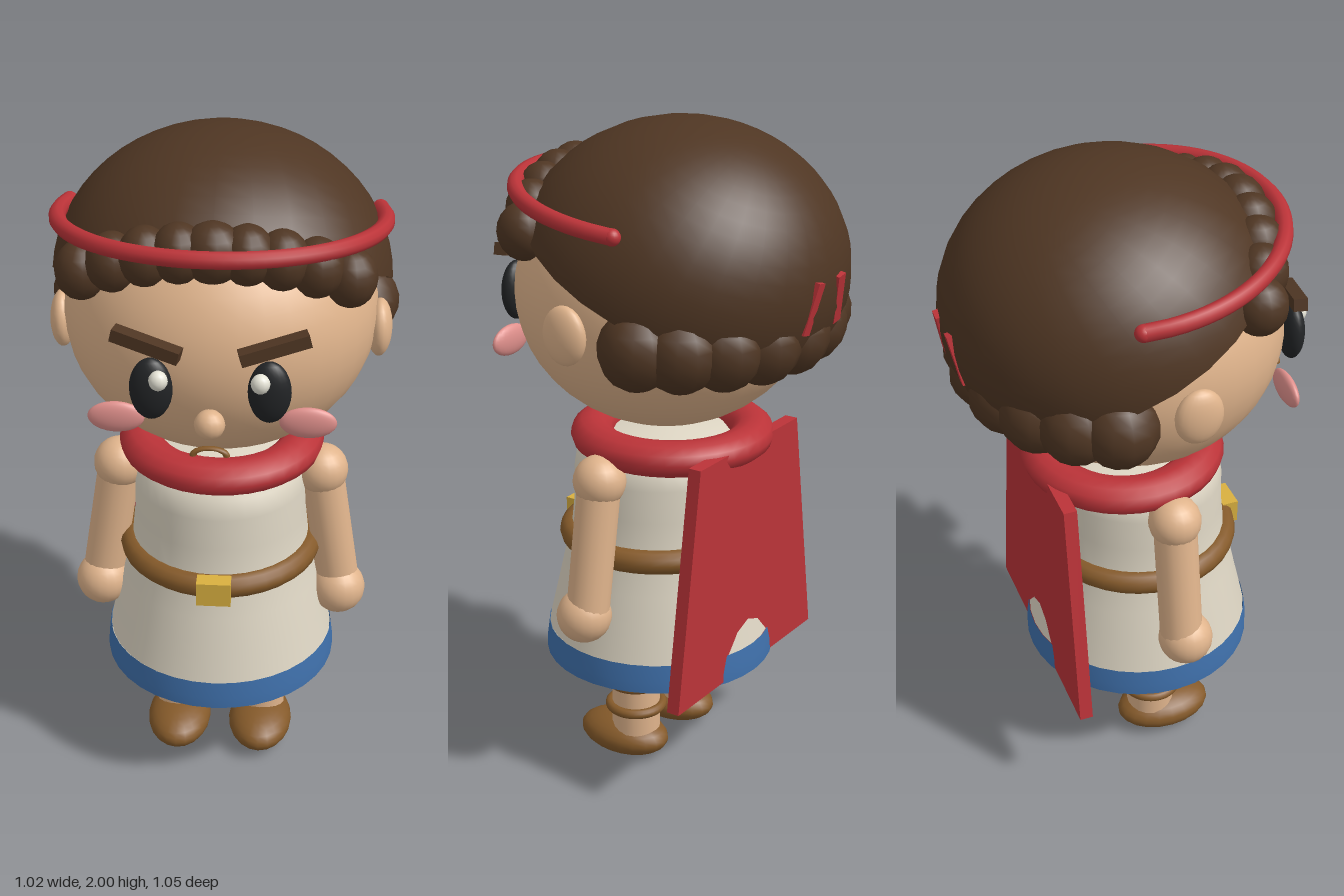
import * as THREE from 'three';

const mat = (name, color, side = THREE.FrontSide) => {
  const m = new THREE.MeshStandardMaterial({ color, side });
  m.name = name;
  return m;
};

export function createModel() {
  const skin = mat('skin', 0xe0b48c);
  const hair = mat('hair brown', 0x4f3623, THREE.DoubleSide);
  const red = mat('red cloth', 0xbb3338);
  const cream = mat('cream cloth', 0xddd5c3, THREE.DoubleSide);
  const blue = mat('blue trim', 0x3f70ab, THREE.DoubleSide);
  const leather = mat('leather', 0x855a2a);
  const gold = mat('gold', 0xd9b040);
  const black = mat('eye black', 0x222426);
  const white = mat('eye white', 0xf0eee0);
  const pink = mat('blush pink', 0xe0908c);

  const model = new THREE.Group();
  model.name = 'warrior';

  const add = (name, geometry, material, x = 0, y = 0, z = 0) => {
    const mesh = new THREE.Mesh(geometry, material);
    mesh.name = name;
    mesh.position.set(x, y, z);
    model.add(mesh);
    return mesh;
  };
  const ball = (name, material, x, y, z, rx, ry = rx, rz = rx, w = 20, h = 14) =>
    add(name, new THREE.SphereGeometry(1, w, h).scale(rx, ry, rz), material, x, y, z);
  const ring = (name, material, x, y, z, radius, tube, flat = 1) =>
    add(name, new THREE.TorusGeometry(radius, tube, 12, 36).rotateX(Math.PI / 2).scale(1, flat, 1), material, x, y, z);
  const limb = (name, material, from, to, r0, r1) => {
    const a = new THREE.Vector3(...from), b = new THREE.Vector3(...to);
    const mesh = add(name, new THREE.CylinderGeometry(r1, r0, a.distanceTo(b), 18), material);
    mesh.position.addVectors(a, b).multiplyScalar(0.5);
    mesh.quaternion.setFromUnitVectors(new THREE.Vector3(0, 1, 0), b.sub(a).normalize());
    return mesh;
  };
  const lathe = (name, material, pts, z) =>
    add(name, new THREE.LatheGeometry(pts.map(p => new THREE.Vector2(...p)), 36), material, 0, 0, z);

  // Head and tilted hair cap
  ball('head', skin, 0, 1.5, 0.02, 0.445, 0.4, 0.44, 36, 24);
  const cap = new THREE.SphereGeometry(1, 28, 14, 0, Math.PI * 2, 0, Math.PI * 0.5);
  cap.rotateX(-0.5).scale(0.483, 0.425, 0.487);
  add('hairCap', cap, hair, 0, 1.575, -0.033);

  // Fringe curls
  for (let i = -4; i <= 4; i++) {
    const t = i / 4;
    ball('fringeCurl', hair, 0.36 * t, 1.805 - 0.1 * t * t, 0.345 - 0.09 * t * t, i ? 0.073 : 0.083, i ? 0.083 : 0.085, 0.077, 14, 10);
  }
  // Curls around the nape
  for (let i = 0; i <= 8; i++) {
    const a = THREE.MathUtils.degToRad(20 + i * 17.5);
    ball('napeCurl', hair, 0.425 * Math.cos(a), 1.45 - 0.02 * Math.sin(a), -0.03 - 0.37 * Math.sin(a), 0.112, 0.115, 0.11, 12, 9);
  }

  // Headband with two knot tails behind
  const bandPts = [];
  for (let i = 0; i <= 20; i++) {
    const a = -0.25 + (Math.PI + 0.5) * i / 20;
    const z = 0.437 * Math.sin(a);
    bandPts.push(new THREE.Vector3(0.455 * Math.cos(a), 1.768 + 0.13 * z, z));
  }
  const band = new THREE.CatmullRomCurve3(bandPts);
  add('headband', new THREE.TubeGeometry(band, 48, 0.024, 10), red);
  for (const p of [bandPts[0], bandPts[20]]) ball('headbandEnd', red, p.x, p.y, p.z, 0.024);
  for (const s of [-1, 1]) {
    const tail = add('headbandTail', new THREE.BoxGeometry(0.035, 0.15, 0.02), red, 0.07 * s, 1.535, -0.502);
    tail.rotation.set(-0.2, 0, 0.2 * s);
  }

  // Face and ears
  for (const s of [-1, 1]) {
    ball('ear', skin, 0.45 * s, 1.46, 0.05, 0.036, 0.085, 0.07);
    ball('eye', black, 0.157 * s, 1.46, 0.455, 0.058, 0.09, 0.035);
    ball('eyeGlint', white, 0.134 * s, 1.5, 0.486, 0.026, 0.028, 0.024, 12, 8);
    ball('cheek', pink, 0.26 * s, 1.34, 0.4, 0.078, 0.046, 0.02);
    const brow = add('eyebrow', new THREE.BoxGeometry(0.19, 0.036, 0.04), hair, 0.168 * s, 1.586, 0.448);
    brow.rotation.set(0, 0.22 * s, 0.24 * s);
  }
  ball('nose', skin, 0, 1.37, 0.48, 0.042, 0.042, 0.04, 14, 10);
  add('mouth', new THREE.TorusGeometry(0.045, 0.01, 8, 16, Math.PI).scale(1, 0.5, 1), leather, 0, 1.272, 0.475);

  // Tunic with trimmed hem
  const cz = 0.05;
  lathe('tunic', cream, [[0.343, 0.43], [0.322, 0.52], [0.297, 0.63], [0.27, 0.74], [0.258, 0.85], [0.256, 0.95], [0.245, 1.01], [0.2, 1.06], [0, 1.07]], cz);
  lathe('hem', blue, [[0.353, 0.345], [0.352, 0.38], [0.345, 0.432]], cz);
  add('tunicUnderside', new THREE.CircleGeometry(0.35, 36).rotateX(Math.PI / 2), cream, 0, 0.352, cz);
  ring('belt', leather, 0, 0.735, cz, 0.268, 0.037);
  add('buckle', new THREE.BoxGeometry(0.1, 0.075, 0.05), gold, 0, 0.735, 0.345);
  ring('collar', red, 0, 1.06, 0.0, 0.24, 0.065, 0.8);

  // Cape
  const capeShape = new THREE.Shape([[-0.375, 0.35], [0.375, 0.35], [0.265, 1.075], [-0.265, 1.075]].map(p => new THREE.Vector2(...p)));
  add('cape', new THREE.ExtrudeGeometry(capeShape, { depth: 0.04, bevelEnabled: false }), red, 0, 0, -0.275);

  // Arms and legs
  for (const s of [-1, 1]) {
    ball('shoulder', skin, 0.302 * s, 0.985, cz, 0.078);
    limb('arm', skin, [0.365 * s, 0.58, 0.055], [0.302 * s, 0.985, cz], 0.064, 0.064);
    ball('hand', skin, 0.364 * s, 0.575, 0.068, 0.082);
    limb('leg', skin, [0.13 * s, 0.08, cz], [0.13 * s, 0.42, cz], 0.075, 0.075);
    for (const y of [0.18, 0.267]) ring('sandalStrap', leather, 0.13 * s, y, cz, 0.081, 0.015);
    ball('shoe', leather, 0.13 * s, 0.065, 0.095, 0.1, 0.062, 0.152);
  }

  // Ground and centre
  const box = new THREE.Box3().setFromObject(model);
  for (const part of model.children) part.position.y -= box.min.y;
  return model;
}
